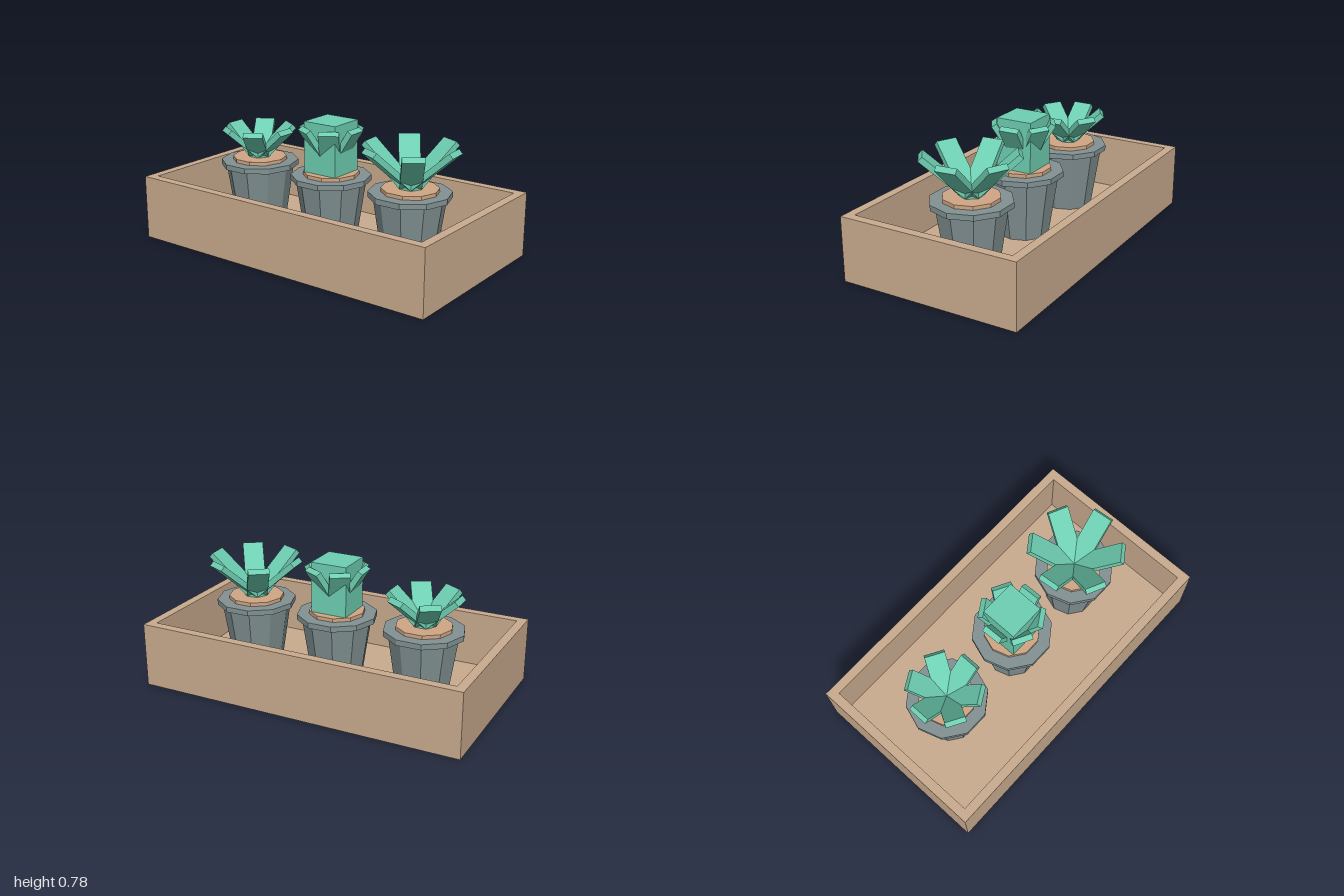
import * as THREE from 'three';

const flat = (name, color) => {
  const m = new THREE.MeshStandardMaterial({ color });
  m.name = name;
  m.flatShading = true;
  return m;
};

export function createModel() {
  const wood = flat('lightWood', 0xc9ab8e);
  const soilMat = flat('soil', 0xcfa684);
  const clay = flat('greyClay', 0x829293);
  const green = flat('leafGreen', 0x6ecfb2);

  const model = new THREE.Group();
  model.name = 'planterBox';

  const add = (parent, name, geometry, material, x = 0, y = 0, z = 0) => {
    const mesh = new THREE.Mesh(geometry, material);
    mesh.name = name;
    mesh.position.set(x, y, z);
    parent.add(mesh);
    return mesh;
  };

  // Open wooden tray: a rectangular ring of walls around an inset floor
  const W = 2, D = 1.11, H = 0.39, T = 0.055;
  const rect = (path, w, d) => path.moveTo(-w / 2, -d / 2).lineTo(w / 2, -d / 2)
    .lineTo(w / 2, d / 2).lineTo(-w / 2, d / 2).closePath();
  const ring = rect(new THREE.Shape(), W, D);
  ring.holes.push(rect(new THREE.Path(), W - 2 * T, D - 2 * T));
  const walls = new THREE.ExtrudeGeometry(ring, { depth: H, bevelEnabled: false });
  walls.rotateX(-Math.PI / 2);
  add(model, 'trayWalls', walls, wood);
  add(model, 'trayFloor', new THREE.BoxGeometry(W - 2 * T, T, D - 2 * T), wood, 0, T / 2, 0);

  // Ten-sided drum from y0 to y1 with corners on the x axis
  const drum = (parent, name, rTop, rBottom, y0, y1, material) => {
    const g = new THREE.CylinderGeometry(rTop, rBottom, y1 - y0, 10);
    g.rotateY(Math.PI / 2);
    add(parent, name, g, material, 0, (y0 + y1) / 2, 0);
  };

  // Plants: six leaning leaves each, the middle one around a square trunk
  const plants = [
    { x: -0.555, length: 0.28, lean: 0.84, width: 0.12, turn: 0 },
    { x: 0, length: 0.322, lean: 0.56, width: 0.12, turn: 0.035, trunk: true },
    { x: 0.555, length: 0.364, lean: 0.84, width: 0.125, turn: 0.09 },
  ];

  for (const p of plants) {
    const potted = new THREE.Group();
    potted.name = 'pottedPlant';
    potted.position.x = p.x;
    model.add(potted);

    drum(potted, 'potBody', 0.21, 0.155, T, 0.42, clay);
    drum(potted, 'potRim', 0.24, 0.24, 0.42, 0.453, clay);
    drum(potted, 'soil', 0.167, 0.167, 0.453, 0.475, soilMat);

    if (p.trunk) {
      add(potted, 'trunk', new THREE.BoxGeometry(0.224, 0.31, 0.224), green, 0, 0.625, 0);
    }
    for (let i = 0; i < 6; i++) {
      const leaf = new THREE.BoxGeometry(0.035, p.length, p.width);
      leaf.translate(0, p.length / 2, 0);
      leaf.rotateZ(-p.lean);
      leaf.rotateY(p.turn + i * Math.PI / 3);
      add(potted, 'leaf', leaf, green, 0, 0.467, 0);
    }
  }
  return model;
}
